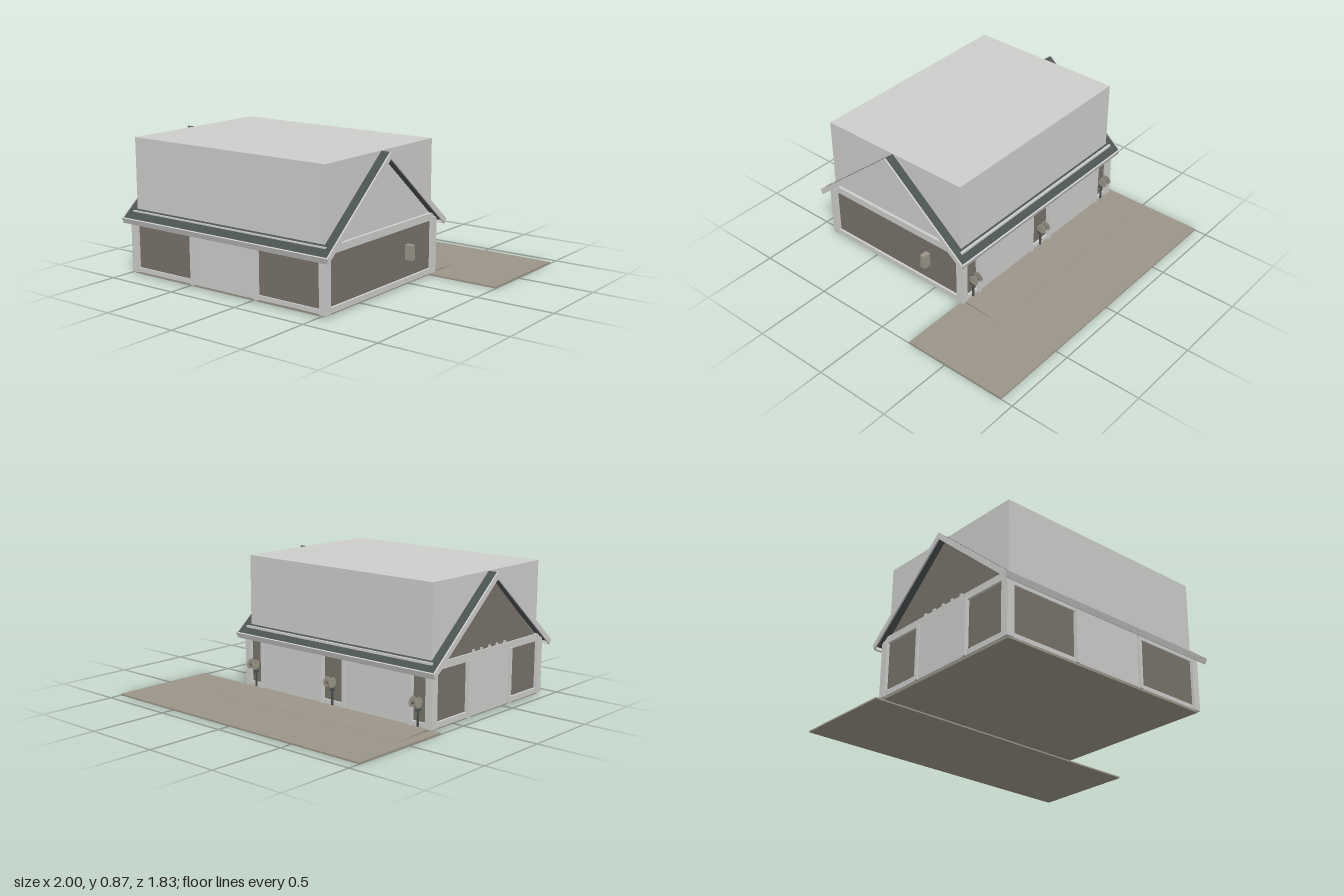
import * as THREE from 'three';

const mat = (name, color) => {
  const m = new THREE.MeshStandardMaterial({ color });
  m.name = name;
  return m;
};

export function createModel() {
  const trim = mat('light grey', 0xcdcdcb);
  const wall = mat('dark taupe', 0x78736a);
  const tan = mat('concrete tan', 0x9a9587);
  const slate = mat('slate', 0x4b5353);
  const model = new THREE.Group();
  model.name = 'barn';

  const add = (name, geo, material, parent = model) => {
    const m = new THREE.Mesh(geo, material);
    m.name = name;
    parent.add(m);
    return m;
  };
  // Box given by its limits on each axis
  const box = (name, material, x0, x1, y0, y1, z0, z1, parent = model) => {
    const m = add(name, new THREE.BoxGeometry(x1 - x0, y1 - y0, z1 - z0), material, parent);
    m.position.set((x0 + x1) / 2, (y0 + y1) / 2, (z0 + z1) / 2);
    return m;
  };
  // Profile of [z, y] points extruded along x
  const prism = (name, material, pts, x0, x1) => {
    const shape = new THREE.Shape(pts.map(([z, y]) => new THREE.Vector2(z, y)));
    const geo = new THREE.ExtrudeGeometry(shape, { depth: x1 - x0, bevelEnabled: false });
    geo.rotateY(-Math.PI / 2);
    geo.translate(x1, 0, 0);
    return add(name, geo, material);
  };

  // Ground: paved yard, floor slab and entry ramp
  box('yard', tan, -1, 1, 0, 0.01, -0.92, -0.22);
  box('floorSlab', tan, -0.945, 0.54, 0.01, 0.025, -0.235, 0.86);
  prism('ramp', tan, [[-0.22, 0.008], [-0.22, 0.025], [-0.49, 0.011], [-0.49, 0.008]], -0.93, 0.53);

  // Wall core, set back behind the timber frame
  box('walls', wall, -0.94, 0.535, 0.025, 0.4, -0.23, 0.85);

  // Corner posts
  for (const [x0, x1] of [[-0.96, -0.91], [0.51, 0.555]])
    for (const [z0, z1] of [[-0.25, -0.2], [0.82, 0.87]])
      box('cornerPost', trim, x0, x1, 0.02, 0.38, z0, z1);

  // Top beams and sills around the building
  for (const [z0, z1] of [[-0.245, -0.21], [0.835, 0.86]]) {
    box('eaveBeam', trim, -0.95, 0.55, 0.335, 0.41, z0, z1);
    box('sill', trim, -0.95, 0.55, 0.022, 0.05, z0, z1);
  }
  for (const [x0, x1] of [[-0.955, -0.92], [0.52, 0.55]]) {
    box('gableBeam', trim, x0, x1, 0.36, 0.405, -0.23, 0.85);
    box('sideSill', trim, x0, x1, 0.022, 0.055, -0.23, 0.85);
  }

  // Front door with its posts
  box('frontDoor', trim, -0.44, 0.04, 0.025, 0.335, 0.84, 0.862);
  for (const x of [-0.45, 0.05]) box('frontDoorPost', trim, x - 0.011, x + 0.011, 0.02, 0.36, 0.84, 0.875);

  // Side door on the right end
  box('sideDoor', trim, -0.956, -0.93, 0.025, 0.36, 0.11, 0.51);
  for (const z of [0.1, 0.52]) box('sideDoorPost', trim, -0.967, -0.93, 0.02, 0.37, z - 0.011, z + 0.011);

  // Two wide back doors with posts
  for (const [x0, x1] of [[-0.8, -0.29], [-0.11, 0.4]]) {
    box('backDoor', trim, x0, x1, 0.025, 0.335, -0.247, -0.22);
    for (const x of [x0, x1]) box('backDoorPost', trim, x - 0.011, x + 0.011, 0.015, 0.36, -0.257, -0.22);
  }

  // Hose reels on the back wall panels
  for (const x of [-0.86, -0.2, 0.46]) {
    const reel = new THREE.Group();
    reel.name = 'hoseReel';
    reel.position.set(x, 0.175, -0.275);
    model.add(reel);
    const drum = add('drum', new THREE.CylinderGeometry(0.016, 0.016, 0.044, 16), wall, reel);
    drum.rotation.z = Math.PI / 2;
    for (const s of [-1, 1]) {
      const disc = add('disc', new THREE.CylinderGeometry(0.033, 0.033, 0.004, 20), tan, reel);
      disc.rotation.z = Math.PI / 2;
      disc.position.x = s * 0.022;
    }
    box('bracket', slate, -0.006, 0.006, -0.006, 0.006, 0, 0.045, reel);
    box('pipe', slate, -0.005, 0.005, -0.15, -0.03, 0.02, 0.03, reel);
    box('tap', slate, -0.01, 0.01, -0.06, -0.045, 0.012, 0.04, reel);
  }

  // Meter cabinet on the left end
  box('meterCabinet', tan, 0.535, 0.585, 0.165, 0.258, 0.03, 0.065);

  // Gable infill on the right end
  prism('gable', wall, [[-0.2, 0.39], [0.31, 0.835], [0.82, 0.39]], -0.945, -0.935);
  for (let i = 0; i < 5; i++) {
    const z = 0.15 + i * 0.08;
    box('beamBlock', trim, -0.953, -0.94, 0.4, 0.42, z - 0.01, z + 0.01);
  }

  // Loft block rising through the roof
  box('loft', trim, -0.93, 0.53, 0.4, 0.865, -0.22, 0.84);

  // Chevron roof, barge boards and fascias
  const ridgeZ = 0.31, slope = 0.84;
  const chevron = (top, run, thick) => {
    const low = top - run * slope, r = run - 0.015;
    const under = top - thick - r * slope;
    return [
      [ridgeZ, top], [ridgeZ - run, low], [ridgeZ - r, under],
      [ridgeZ, top - thick], [ridgeZ + r, under], [ridgeZ + run, low],
    ];
  };
  prism('roof', slate, chevron(0.863, 0.594, 0.025), -0.992, 0.592);
  for (const [x0, x1] of [[-1, -0.99], [0.59, 0.6]])
    prism('bargeBoard', trim, chevron(0.866, 0.6, 0.043), x0, x1);
  for (const s of [-1, 1]) {
    const z = ridgeZ + s * 0.592;
    const fascia = box('fascia', trim, -0.995, 0.595, 0.331, 0.367, z - 0.005, z + 0.005);
    fascia.rotation.x = s * 0.35;
  }
  return model;
}
